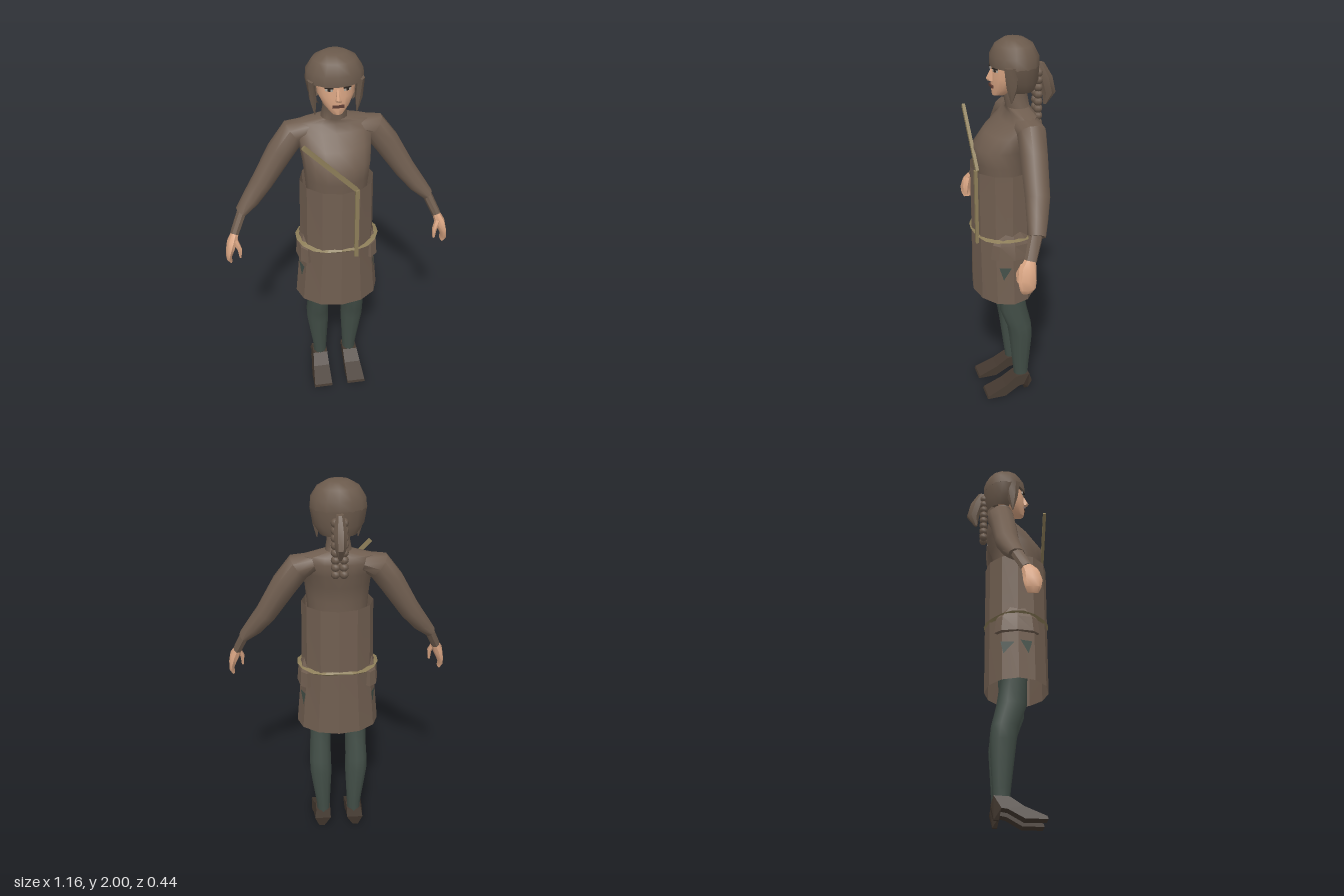
import * as THREE from 'three';
import { toCreasedNormals } from 'three/addons/utils/BufferGeometryUtils.js';

const mat = (name, color, side = THREE.FrontSide) => {
  const m = new THREE.MeshStandardMaterial({ color, side });
  m.name = name;
  return m;
};

// Rings [x, y, z, rx, rz] joined into a skin; tilt makes rings follow the path
function loft(rings, n, { a0 = 0, arc = Math.PI * 2, tilt = false, caps = true, crease = 0.7 } = {}) {
  const full = arc > 6.28, cols = full ? n : n + 1, pos = [], idx = [];
  const c = rings.map(r => new THREE.Vector3(r[0], r[1], r[2]));
  rings.forEach((r, i) => {
    const U = new THREE.Vector3(1, 0, 0), V = new THREE.Vector3(0, 0, 1);
    if (tilt) {
      const T = c[Math.min(i + 1, c.length - 1)].clone().sub(c[Math.max(i - 1, 0)]).normalize();
      V.addScaledVector(T, -V.dot(T)).normalize();
      U.crossVectors(T, V);
    }
    for (let j = 0; j < cols; j++) {
      const a = a0 + arc * j / n;
      const p = c[i].clone().addScaledVector(U, Math.sin(a) * r[3]).addScaledVector(V, Math.cos(a) * r[4]);
      pos.push(p.x, p.y, p.z);
    }
  });
  const at = (i, j) => i * cols + (full ? j % n : j);
  for (let i = 0; i < rings.length - 1; i++) for (let j = 0; j < n; j++) {
    idx.push(at(i, j), at(i, j + 1), at(i + 1, j), at(i, j + 1), at(i + 1, j + 1), at(i + 1, j));
  }
  if (full && caps) {
    const last = rings.length - 1, k = pos.length / 3;
    pos.push(...c[0].toArray(), ...c[last].toArray());
    for (let j = 0; j < n; j++) idx.push(k, at(0, j + 1), at(0, j), k + 1, at(last, j), at(last, j + 1));
  }
  const g = new THREE.BufferGeometry();
  g.setAttribute('position', new THREE.Float32BufferAttribute(pos, 3));
  g.setIndex(idx);
  g.computeVertexNormals();
  return toCreasedNormals(g, crease);
}

export function createModel() {
  const root = new THREE.Group();
  const cloth = mat('brown cloth', 0x705e50, THREE.DoubleSide);
  const hair = mat('brown hair', 0x6b5a4c, THREE.DoubleSide);
  const skin = mat('skin', 0xd9a583);
  const hose = mat('dark green hose', 0x424e47, THREE.DoubleSide);
  const leather = mat('dark leather', 0x43382f);
  const gold = mat('dull gold', 0x8c7d58, THREE.DoubleSide);
  const dark = mat('eye dark', 0x2c2520);
  const white = mat('eye white', 0xb5aca0);
  const lip = mat('lip', 0x5e3d34);
  const add = (name, geo, m, x = 0, y = 0, z = 0) => {
    const o = new THREE.Mesh(geo, m);
    o.name = name;
    o.position.set(x, y, z);
    root.add(o);
    return o;
  };

  // Upper body with high collar
  add('torso', loft([
    [0, 1.28, 0.06, 0.15, 0.12], [0, 1.4, 0.065, 0.16, 0.13], [0, 1.48, 0.06, 0.168, 0.14],
    [0, 1.55, 0.018, 0.178, 0.122], [0, 1.61, -0.025, 0.19, 0.085], [0, 1.645, -0.035, 0.18, 0.066],
    [0, 1.668, -0.025, 0.065, 0.058], [0, 1.72, -0.015, 0.056, 0.06], [0, 1.77, -0.01, 0.056, 0.06]], 16, { crease: 0.9 }), cloth);

  // Stiff faceted tunic, open at both ends
  add('tunic', loft([
    [0, 0.66, 0.055, 0.22, 0.165], [0, 1.0, 0.055, 0.19, 0.165], [0, 1.37, 0.055, 0.185, 0.165]],
  12, { caps: false, crease: 0.2 }), cloth);

  // Wavy belt
  const beltGeo = loft([
    [0, 1.01, 0.055, 0.188, 0.162], [0, 1.02, 0.055, 0.216, 0.171], [0, 1.03, 0.055, 0.188, 0.162]],
  18, { caps: false, crease: 0.3 });
  const bp = beltGeo.attributes.position;
  for (let i = 0; i < bp.count; i++) {
    bp.setY(i, bp.getY(i) + 0.006 * Math.cos(4 * Math.atan2(bp.getX(i), bp.getZ(i) - 0.055)));
  }
  beltGeo.computeVertexNormals();
  add('belt', beltGeo, gold);

  // Shoulder strap in two straight runs
  const strap = (x0, y0, x1, y1, z) => {
    const o = add('strap', new THREE.BoxGeometry(0.02, Math.hypot(x1 - x0, y1 - y0), 0.016), gold,
      (x0 + x1) / 2, (y0 + y1) / 2, z);
    o.rotation.z = Math.atan2(y1 - y0, x1 - x0) - Math.PI / 2;
  };
  strap(0.075, 1.375, -0.18, 1.635, 0.203);
  strap(0.075, 0.98, 0.075, 1.38, 0.212);

  // Head, nose, mouth
  add('head', loft([
    [0, 1.732, 0.068, 0.028, 0.034], [0, 1.765, 0.045, 0.06, 0.062],
    [0, 1.82, 0.03, 0.088, 0.075], [0, 1.89, 0.015, 0.095, 0.085]], 16, { crease: 1 }), skin);
  add('nose', loft([
    [0, 1.803, 0.108, 0.016, 0.016], [0, 1.815, 0.111, 0.014, 0.021], [0, 1.86, 0.1, 0.007, 0.008]], 6), skin);
  add('mouth', new THREE.BoxGeometry(0.055, 0.013, 0.009), lip, 0, 1.777, 0.106);

  // Hair cap with fringe, and a lower part open at the face
  add('hairCap', loft([
    [0, 1.872, -0.008, 0.138, 0.118], [0, 1.92, -0.008, 0.134, 0.118],
    [0, 1.97, -0.008, 0.102, 0.092], [0, 1.997, -0.006, 0.055, 0.05], [0, 2.0, -0.006, 0.02, 0.02]], 14), hair);
  add('hairBack', loft([
    [0, 1.75, -0.03, 0.09, 0.075], [0, 1.8, -0.018, 0.124, 0.105], [0, 1.875, -0.008, 0.138, 0.118]],
  12, { a0: 0.96, arc: Math.PI * 2 - 1.92 }), hair);
  add('ponytail', loft([
    [0, 1.66, -0.168, 0.008, 0.008], [0, 1.72, -0.187, 0.027, 0.035],
    [0, 1.8, -0.165, 0.033, 0.038], [0, 1.87, -0.138, 0.018, 0.022]], 7), hair);

  // Shoe profile, z forward and y up
  const shoeShape = new THREE.Shape([
    [0.19, 0], [0.185, 0.014], [0.08, 0.06], [0.015, 0.105], [-0.062, 0.11], [-0.075, 0.065],
    [-0.06, 0], [-0.037, 0], [-0.025, 0.05], [0.005, 0.045], [0.085, 0]].map(p => new THREE.Vector2(...p)));

  for (const s of [1, -1]) {
    // Face side: eye, brow and pointed lock
    const plate = (name, w, h, y, z, m) => {
      add(name, new THREE.BoxGeometry(w, h, 0.006), m, s * 0.042, y, z).rotation.y = s * 0.4;
    };
    plate('eyeWhite', 0.034, 0.014, 1.859, 0.096, white);
    plate('iris', 0.014, 0.014, 1.859, 0.098, dark);
    plate('eyelid', 0.04, 0.006, 1.868, 0.099, dark);
    add('sideLock', loft([
      [s * 0.1, 1.71, 0.035, 0.003, 0.003], [s * 0.108, 1.79, 0.032, 0.018, 0.03],
      [s * 0.115, 1.885, 0.03, 0.018, 0.045]], 6), hair);

    // Braid of beads
    for (let i = 0; i < 8; i++) {
      add('braidBead', new THREE.SphereGeometry(0.023, 8, 6), hair, s * 0.02, 1.575 + i * 0.036, -0.125);
    }

    // Sleeve, cuff and hand
    add('sleeve', loft([
      [s * 0.12, 1.61, -0.035, 0.045, 0.068], [s * 0.195, 1.588, -0.035, 0.068, 0.072],
      [s * 0.265, 1.495, -0.025, 0.066, 0.068], [s * 0.365, 1.335, -0.01, 0.054, 0.062],
      [s * 0.43, 1.25, 0.012, 0.045, 0.052], [s * 0.482, 1.193, 0.03, 0.03, 0.042]], 10, { tilt: true, crease: 0.8 }), cloth);
    add('cuff', loft([
      [s * 0.472, 1.21, 0.03, 0.025, 0.034], [s * 0.525, 1.095, 0.075, 0.023, 0.03]], 8, { tilt: true }), cloth);
    add('hand', loft([
      [s * 0.518, 1.11, 0.07, 0.018, 0.024], [s * 0.54, 1.06, 0.093, 0.027, 0.042],
      [s * 0.557, 1.01, 0.1, 0.02, 0.045], [s * 0.565, 0.97, 0.1, 0.013, 0.038],
      [s * 0.555, 0.945, 0.1, 0.007, 0.025]], 8, { tilt: true }), skin);
    add('thumb', loft([
      [s * 0.525, 1.075, 0.11, 0.015, 0.018], [s * 0.506, 1.03, 0.125, 0.012, 0.016],
      [s * 0.506, 0.98, 0.125, 0.006, 0.01]], 6, { tilt: true }), skin);

    // Hip pouch with slits showing the hose below
    add('hipPouch', loft([
      [s * 0.163, 0.92, 0.05, 0.052, 0.115], [s * 0.165, 1.0, 0.05, 0.043, 0.105],
      [s * 0.16, 1.07, 0.05, 0.02, 0.045]], 8, { crease: 0.3 }), cloth);
    const slit = pts => {
      const v = pts.flatMap(([y, z]) => [
        s * ((0.22 - 0.088 * (y - 0.66)) * (1 - 1.62 * Math.abs(z - 0.055)) + 0.003), y, z]);
      const g = new THREE.BufferGeometry();
      g.setAttribute('position', new THREE.Float32BufferAttribute(v, 3));
      g.setIndex(s > 0 ? [0, 1, 2] : [0, 2, 1]);
      g.computeVertexNormals();
      add('slit', g, hose);
    };
    slit([[0.8, 0.105], [0.87, 0.065], [0.87, 0.125]]);
    slit([[0.8, -0.02], [0.87, -0.035], [0.86, 0.035]]);

    // Leg
    add('leg', loft([
      [s * 0.087, 0.08, -0.025, 0.036, 0.04], [s * 0.087, 0.15, -0.023, 0.039, 0.045],
      [s * 0.098, 0.38, -0.017, 0.062, 0.066], [s * 0.1, 0.45, -0.008, 0.061, 0.068],
      [s * 0.097, 0.56, 0.025, 0.058, 0.075], [s * 0.093, 0.68, 0.035, 0.062, 0.068],
      [s * 0.09, 0.95, 0.045, 0.08, 0.085]], 10, { crease: 0.9 }), hose);

    // Heeled shoe, narrowing toward the ankle and the heel
    const g = new THREE.ExtrudeGeometry(shoeShape, { depth: 0.104, bevelEnabled: false });
    g.translate(0, 0, -0.052).rotateY(-Math.PI / 2);
    const p = g.attributes.position;
    for (let i = 0; i < p.count; i++) {
      const y = p.getY(i), z = p.getZ(i);
      const k = z < -0.02 && y < 0.04 ? 0.3 : 1 - y * 2;
      p.setX(i, p.getX(i) * k - s * y * 0.08);
    }
    g.computeVertexNormals();
    add('shoe', g, leather, s * 0.097);
  }
  return root;
}
